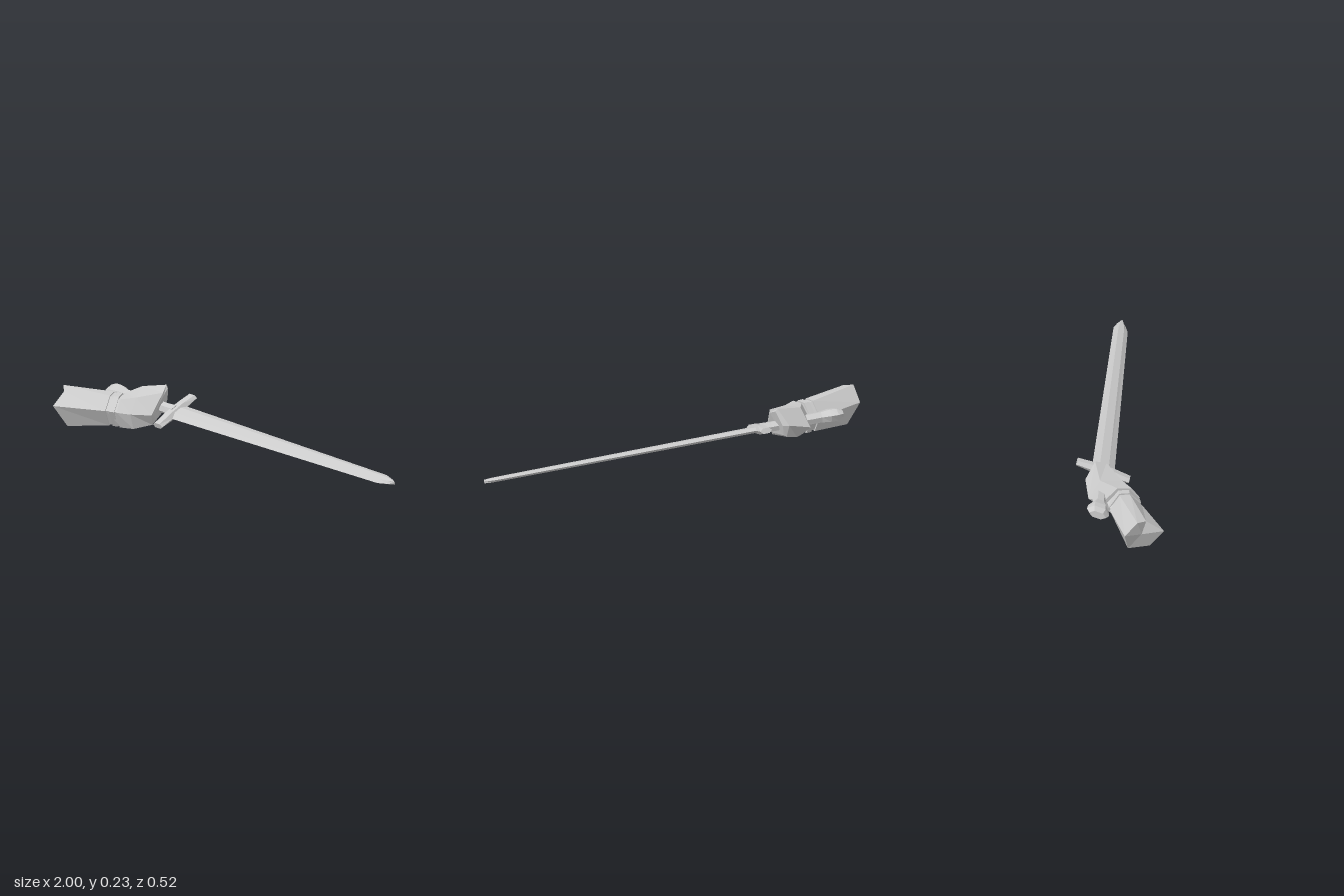
import * as THREE from 'three';

const material = new THREE.MeshStandardMaterial({ color: 0xcccccc, flatShading: true, side: THREE.DoubleSide });

// Skin rings of [x, y, z] points that follow +x, and close both ends with a fan
function loft(name, rings) {
  const n = rings[0].length;
  const tris = [];
  for (let i = 0; i < rings.length - 1; i++) {
    for (let j = 0; j < n; j++) {
      const k = (j + 1) % n;
      const a = rings[i][j], b = rings[i][k], c = rings[i + 1][k], d = rings[i + 1][j];
      tris.push(a, b, c, a, c, d);
    }
  }
  const cap = (ring, flip) => {
    const mid = [0, 1, 2].map((axis) => ring.reduce((sum, p) => sum + p[axis], 0) / n);
    for (let j = 0; j < n; j++) {
      const a = ring[j], b = ring[(j + 1) % n];
      tris.push(mid, ...(flip ? [b, a] : [a, b]));
    }
  };
  cap(rings[0], true);
  cap(rings[rings.length - 1], false);
  const geometry = new THREE.BufferGeometry();
  geometry.setAttribute('position', new THREE.Float32BufferAttribute(tris.flat(), 3));
  geometry.computeVertexNormals();
  const mesh = new THREE.Mesh(geometry, material);
  mesh.name = name;
  return mesh;
}

// Flattened hexagon across the sword: half width w, half thickness t, flat share f
const hex = (x, w, t, f = 0.4) => [
  [x, w, 0], [x, w * f, t], [x, -w * f, t], [x, -w, 0], [x, -w * f, -t], [x, w * f, -t],
];

function createSword() {
  const sword = new THREE.Group();
  sword.name = 'sword';

  // Blade with a short blunt point
  sword.add(loft('blade', [
    hex(0, 0.06, 0.014), hex(1.37, 0.038, 0.011), hex(1.42, 0.022, 0.011), hex(1.452, 0.004, 0.009),
  ]));

  // Crossguard, thicker in the middle
  const outline = [[-0.14, 0.014], [-0.05, 0.022], [0.05, 0.022], [0.14, 0.014]];
  const guard = loft('crossguard', outline.map(([x, t]) => hex(x, 0.031, t, 0.5)));
  guard.rotation.z = Math.PI / 2;
  sword.add(guard);

  // Grip and flared pommel
  sword.add(loft('grip', [hex(-0.34, 0.034, 0.026, 0.5), hex(-0.06, 0.03, 0.024, 0.5), hex(0, 0.036, 0.026, 0.5)]));
  sword.add(loft('pommel', [
    hex(-0.435, 0.045, 0.018, 0.5), hex(-0.405, 0.06, 0.03, 0.5),
    hex(-0.37, 0.055, 0.032, 0.5), hex(-0.325, 0.034, 0.026, 0.5),
  ]));

  // Aim the sword forward and down, rolled toward the back
  const along = new THREE.Vector3(0.967, -0.067, 0.245).normalize();
  const across = new THREE.Vector3(0.25, 0.34, -0.91);
  across.addScaledVector(along, -across.dot(along)).normalize();
  const up = new THREE.Vector3().crossVectors(along, across);
  sword.quaternion.setFromRotationMatrix(new THREE.Matrix4().makeBasis(along, across, up));
  sword.position.set(-0.405, 0.115, -0.11);
  return sword;
}

// Each ring runs front, lower front, lower back, back, upper back, upper front
function createGauntlet() {
  const gauntlet = new THREE.Group();
  gauntlet.name = 'gauntlet';

  // Forearm cuff with a slanted mouth
  const cuffEnd = [
    [-0.73, 0.11, 0.028], [-0.73, 0.022, -0.02], [-0.735, 0.022, -0.105],
    [-0.745, 0.11, -0.14], [-0.735, 0.182, -0.085], [-0.73, 0.176, -0.03],
  ];
  gauntlet.add(loft('forearmCuff', [
    [
      [-0.99, 0.12, 0.093], [-0.94, 0.005, 0.03], [-0.94, 0.003, -0.083],
      [-1, 0.12, -0.11], [-1, 0.193, -0.045], [-0.97, 0.178, 0.005],
    ],
    cuffEnd,
  ]));

  // Narrow wrist band
  const wristStart = cuffEnd.map(([x, y, z]) => [x, 0.105 + (y - 0.105) * 0.92, -0.055 + (z + 0.055) * 0.92]);
  const wristEnd = [
    [-0.665, 0.11, 0.022], [-0.665, 0.032, -0.01], [-0.67, 0.034, -0.105],
    [-0.685, 0.115, -0.142], [-0.675, 0.174, -0.08], [-0.665, 0.164, -0.02],
  ];
  gauntlet.add(loft('wristBand', [wristStart, wristEnd]));
  const bandStart = cuffEnd.map(([x, y, z]) => [x + 0.02, y, z]);
  gauntlet.add(loft('wristTrim', [bandStart, bandStart.map(([x, y, z]) => [x + 0.03, y, z])]));

  // Closed fist bending toward the grip
  gauntlet.add(loft('fist', [
    [
      [-0.665, 0.11, 0.03], [-0.665, 0.024, -0.005], [-0.665, 0.027, -0.11],
      [-0.675, 0.12, -0.155], [-0.67, 0.185, -0.085], [-0.665, 0.17, -0.01],
    ],
    [
      [-0.595, 0.105, 0.013], [-0.59, 0.024, -0.01], [-0.6, 0.04, -0.155],
      [-0.635, 0.115, -0.228], [-0.615, 0.205, -0.165], [-0.595, 0.178, -0.05],
    ],
    [
      [-0.5, 0.1, -0.035], [-0.51, 0.042, -0.065], [-0.515, 0.078, -0.195],
      [-0.515, 0.15, -0.222], [-0.48, 0.23, -0.165], [-0.47, 0.205, -0.105],
    ],
    [
      [-0.495, 0.1, -0.055], [-0.5, 0.06, -0.08], [-0.505, 0.085, -0.185],
      [-0.49, 0.145, -0.2], [-0.47, 0.215, -0.16], [-0.468, 0.19, -0.11],
    ],
  ]));
  return gauntlet;
}

export function createModel() {
  const model = new THREE.Group();
  model.name = 'gauntletWithSword';
  model.add(createSword(), createGauntlet());
  return model;
}
